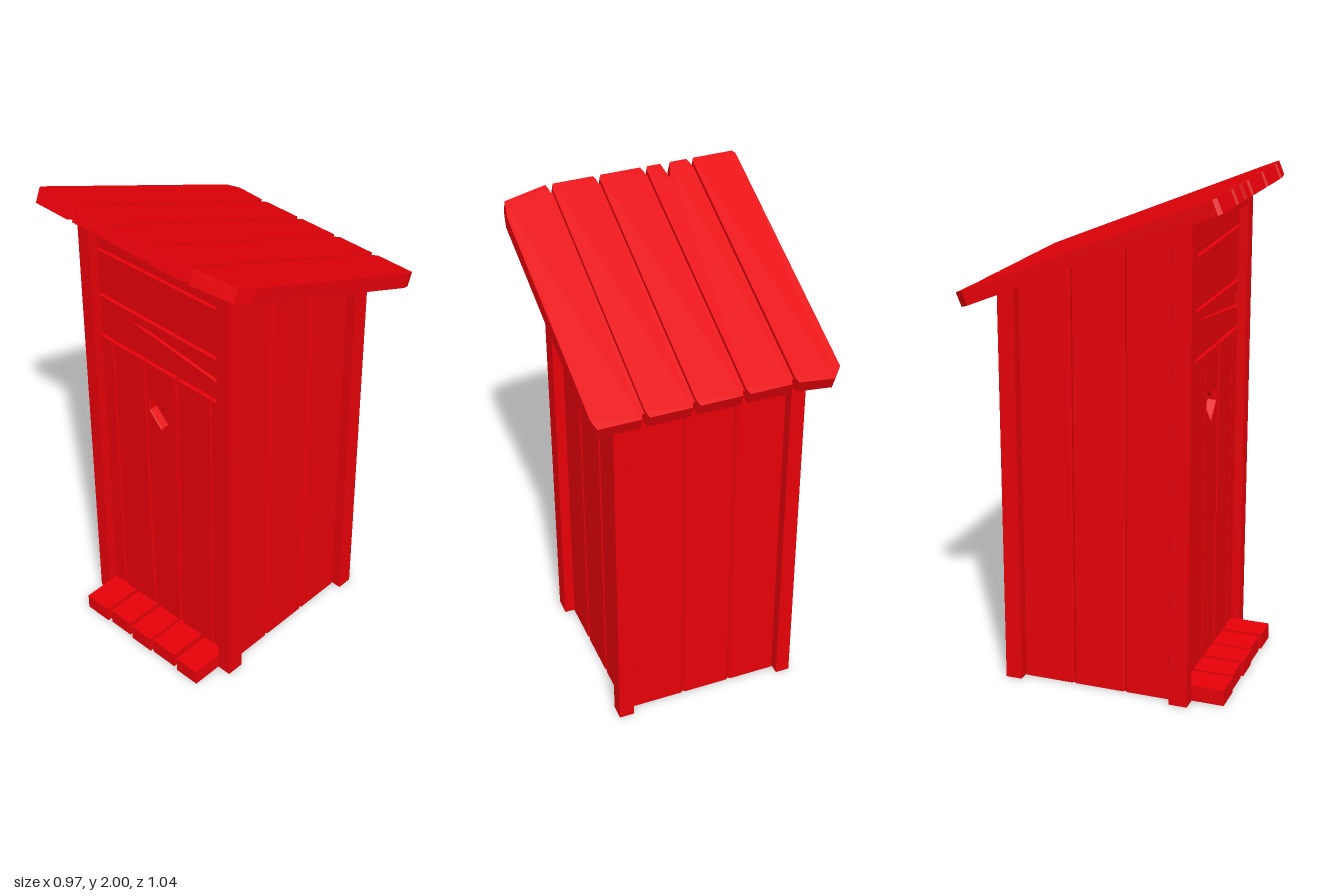
import * as THREE from 'three';

const SLOPE = 0.4167;
const ANGLE = Math.atan(SLOPE);
const roofY = (z) => 1.73 + SLOPE * z; // underside of the roof

export function createModel() {
  const model = new THREE.Group();
  const mat = new THREE.MeshStandardMaterial({ color: 0xe60008, flatShading: true });

  const add = (name, geo, parent) => {
    const mesh = new THREE.Mesh(geo, mat);
    mesh.name = name;
    parent.add(mesh);
    return mesh;
  };
  const group = (name) => {
    const g = new THREE.Group();
    g.name = name;
    model.add(g);
    return g;
  };
  const box = (name, x0, x1, y0, y1, z0, z1, parent) =>
    add(name, new THREE.BoxGeometry(x1 - x0, y1 - y0, z1 - z0)
      .translate((x0 + x1) / 2, (y0 + y1) / 2, (z0 + z1) / 2), parent);
  const vectors = (pts) => pts.map((p) => new THREE.Vector2(...p));

  // upright timber with chamfered edges whose top is cut to the roof slope
  const upright = (name, x0, x1, z0, z1, c, parent) => {
    const shape = new THREE.Shape(vectors([[x0 + c, -z1], [x1 - c, -z1], [x1, -z1 + c], [x1, -z0 - c],
      [x1 - c, -z0], [x0 + c, -z0], [x0, -z0 - c], [x0, -z1 + c]]));
    const geo = new THREE.ExtrudeGeometry(shape, { depth: 1, bevelEnabled: false });
    geo.rotateX(-Math.PI / 2);
    const p = geo.attributes.position;
    for (let i = 0; i < p.count; i++) p.setY(i, p.getY(i) > 0.5 ? roofY(p.getZ(i)) : 0);
    geo.computeVertexNormals();
    return add(name, geo, parent);
  };

  // flat board from an outline, optionally bevelled; centred on z = 0
  const board = (pts, thick, bevel = 0, holes = []) => {
    const shape = new THREE.Shape(vectors(pts));
    shape.holes = holes.map((h) => new THREE.Path(vectors(h)));
    return new THREE.ExtrudeGeometry(shape, {
      depth: thick - 2 * bevel, bevelEnabled: bevel > 0, bevelSegments: 1,
      bevelThickness: bevel, bevelSize: bevel, bevelOffset: -bevel,
    }).translate(0, 0, bevel - thick / 2);
  };

  // corner posts and header
  const frame = group('frame');
  for (const [x0, x1] of [[-0.407, -0.348], [0.294, 0.356]]) {
    upright('frontPost', x0, x1, 0.315, 0.39, 0.001, frame);
    upright('backPost', x0, x1, -0.371, -0.305, 0.001, frame);
  }
  box('header', -0.35, 0.298, 1.838, 1.887, 0.32, 0.388, frame);

  // side walls, set back from the posts
  const sides = group('sideWalls');
  const zCuts = [-0.31, -0.095, 0.12, 0.32];
  for (const [x0, x1] of [[-0.367, -0.335], [0.283, 0.315]]) {
    for (let i = 0; i < 3; i++) {
      upright('sideBoard', x0, x1, zCuts[i], zCuts[i + 1], 0.009, sides);
    }
    upright('sideLining', x0 + 0.009, x1 - 0.009, -0.31, 0.32, 0.001, sides);
  }

  // back wall
  const back = group('backWall');
  const xCuts = [-0.352, -0.145, 0.06, 0.3];
  for (let i = 0; i < 3; i++) {
    upright('backBoard', xCuts[i], xCuts[i + 1], -0.332, -0.3, 0.009, back);
  }
  upright('backLining', -0.352, 0.3, -0.323, -0.309, 0.001, back);

  // weathered boards above the door, the lowest one split at its end
  const gable = group('gable');
  const courses = [
    [[-0.352, 1.755], [0.3, 1.755], [0.3, 1.842], [-0.352, 1.842]],
    [[-0.352, 1.538], [0.3, 1.555], [0.3, 1.752], [-0.352, 1.732]],
    [[-0.352, 1.355], [0.3, 1.355], [0.3, 1.43], [-0.19, 1.488], [0.3, 1.482], [0.3, 1.534], [-0.352, 1.53]],
  ];
  for (const pts of courses) add('gableBoard', board(pts, 0.032, 0.005), gable).position.z = 0.338;
  box('gableLining', -0.352, 0.3, 1.34, 1.85, 0.325, 0.343, gable);

  // door with a heart cut-out
  const door = group('door');
  const heart = [[-0.034, 1.05], [0.029, 1.113], [0.029, 1.16], [0.006, 1.172],
    [-0.034, 1.147], [-0.072, 1.172], [-0.095, 1.16], [-0.095, 1.113]];
  // x of bottom left, bottom right, top right, top left
  const doorBoards = [
    [-0.352, -0.287, -0.287, -0.352],
    [-0.283, -0.108, -0.118, -0.283],
    [-0.1, 0.042, 0.05, -0.116],
    [0.054, 0.228, 0.228, 0.064],
    [0.232, 0.3, 0.3, 0.232],
  ];
  doorBoards.forEach(([a, b, c, d], i) => {
    const geo = board([[a, 0.02], [b, 0.02], [c, 1.338], [d, 1.338]], 0.04, 0.003, i === 2 ? [heart] : []);
    add('doorBoard', geo, door).position.z = 0.334;
  });
  box('doorLining', -0.352, 0.3, 0.02, 1.345, 0.3, 0.318, door);

  // floor boards running out into the front step
  const floor = group('floor');
  // left and right edges at the front, then at the back
  const floorBoards = [
    [-0.345, -0.225, -0.228, -0.345],
    [-0.208, -0.098, -0.092, -0.212],
    [-0.078, 0.03, 0.03, -0.08],
    [0.042, 0.162, 0.166, 0.04],
    [0.184, 0.295, 0.295, 0.178],
  ];
  floorBoards.forEach(([a, b, c, d], i) => {
    const front = -0.52 + (i % 2) * 0.006;
    const geo = board([[a, front], [b, front], [c, 0.32], [d, 0.32]], 0.066);
    add('floorBoard', geo.rotateX(-Math.PI / 2), floor).position.y = 0.033;
  });
  box('floorLining', -0.35, 0.3, 0.03, 0.05, -0.32, 0.34, floor);

  // roof planks, outlined as seen from above [x, z] and tilted to the slope
  const roof = group('roof');
  const planks = [
    [[-0.484, 0.495], [-0.473, 0.509], [-0.31, 0.509], [-0.302, 0.487], [-0.302, -0.468],
      [-0.309, -0.494], [-0.445, -0.509], [-0.484, -0.467]],
    [[-0.289, 0.487], [-0.281, 0.509], [-0.212, 0.509], [-0.185, 0.44], [-0.172, 0.509],
      [-0.118, 0.509], [-0.11, 0.487], [-0.11, -0.468], [-0.118, -0.494], [-0.281, -0.494], [-0.289, -0.468]],
    [[-0.097, 0.487], [-0.089, 0.509], [0.074, 0.509], [0.082, 0.487], [0.082, -0.468],
      [0.074, -0.494], [-0.089, -0.494], [-0.097, -0.468]],
    [[0.095, 0.487], [0.103, 0.509], [0.265, 0.509], [0.273, 0.487], [0.273, -0.468],
      [0.265, -0.494], [0.103, -0.494], [0.095, -0.468]],
    [[0.287, 0.487], [0.294, 0.509], [0.466, 0.472], [0.481, 0.4], [0.472, -0.455],
      [0.46, -0.494], [0.294, -0.494], [0.287, -0.468]],
  ];
  for (const pts of planks) {
    const outline = pts.map(([x, z]) => [x, -z / Math.cos(ANGLE)]);
    add('roofPlank', board(outline, 0.058), roof);
  }
  // filler closing the grooves between the planks
  for (const x of [-0.2955, -0.1035, 0.0885, 0.28]) {
    box('roofGroove', x - 0.008, x + 0.008, -0.525, 0.505, -0.02, 0.012, roof);
  }
  roof.rotation.x = -Math.PI / 2 - ANGLE;
  roof.position.set(0, 1.762, 0);

  return model;
}
